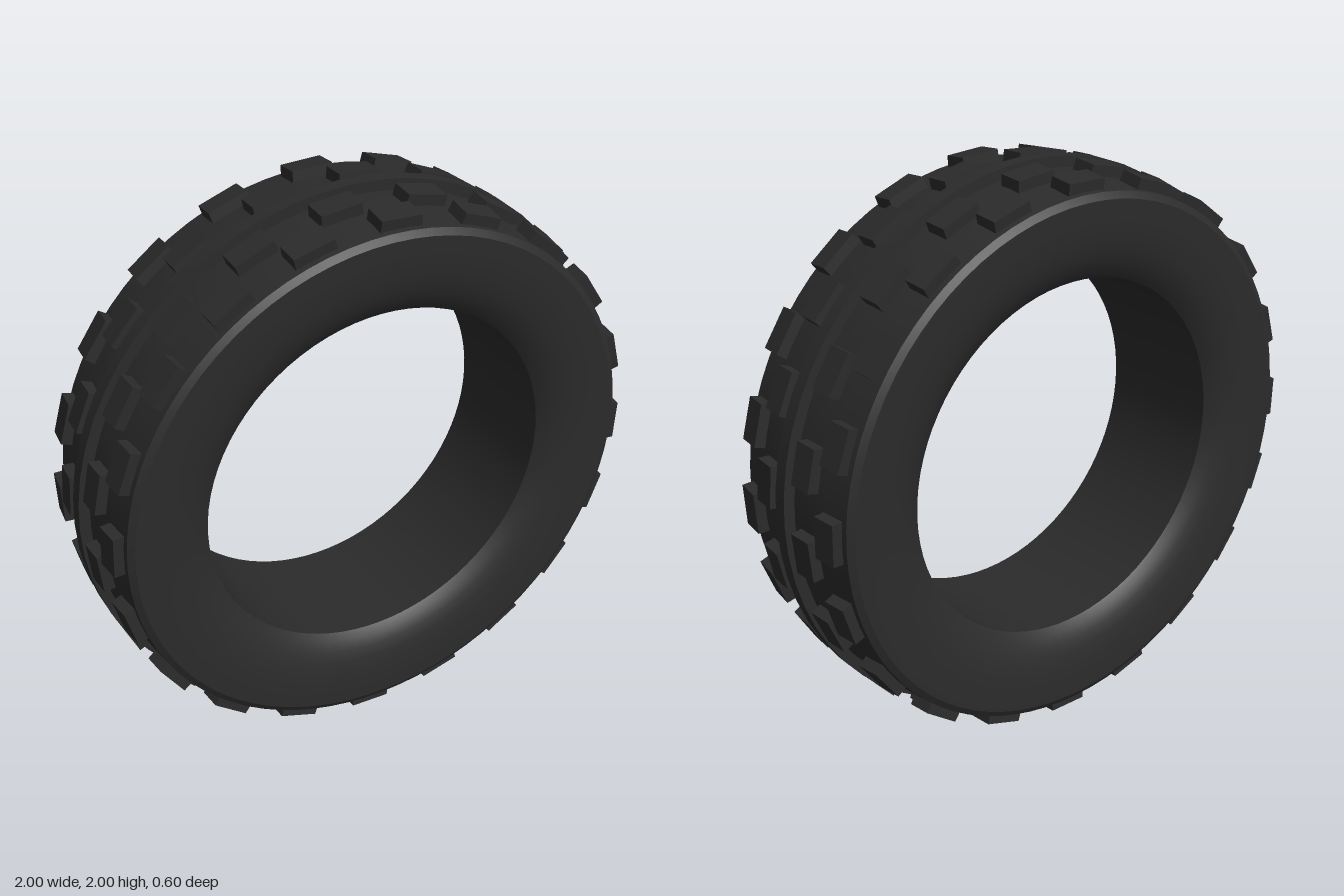
import * as THREE from 'three';
import { toCreasedNormals } from 'three/addons/utils/BufferGeometryUtils.js';

const rubber = new THREE.MeshStandardMaterial({ color: 0x2b2b2b });
rubber.name = 'black rubber';

// Ring turned about the z axis from [radius, z] points
function ring(name, profile, segments) {
  const points = profile.map(([r, z]) => new THREE.Vector2(r, z));
  const geometry = new THREE.LatheGeometry(points, segments).rotateX(Math.PI / 2);
  const mesh = new THREE.Mesh(toCreasedNormals(geometry, 0.5), rubber);
  mesh.name = name;
  return mesh;
}

// Tread block, slightly narrower on top, with its top face at y = 0
function blockGeometry() {
  const geometry = new THREE.BoxGeometry(0.15, 0.08, 0.09).translate(0, -0.04, 0);
  const p = geometry.attributes.position;
  for (let i = 0; i < p.count; i++) {
    if (p.getY(i) > -0.01) p.setXYZ(i, p.getX(i) * 0.96, 0, p.getZ(i) * 0.97);
  }
  geometry.computeVertexNormals();
  return geometry;
}

export function createModel() {
  const model = new THREE.Group();
  model.name = 'tire';
  const wheel = new THREE.Group();
  wheel.name = 'tireBody';
  wheel.position.y = 1;
  model.add(wheel);

  // Half profile from the bore over the sidewall to the tread centre
  const half = [
    [0.64, 0.235], [0.665, 0.254], [0.7, 0.272], [0.74, 0.285], [0.79, 0.294],
    [0.85, 0.298], [0.915, 0.298], [0.938, 0.285], [0.948, 0.2], [0.957, 0.1],
  ];
  const back = half.map(([r, z]) => [r, -z]);
  wheel.add(ring('carcass', [half[0], ...back, [0.96, 0], ...half.slice().reverse()], 80));

  // Continuous rib round the middle of the tread
  wheel.add(ring('centreRib', [[0.93, -0.025], [0.998, -0.025], [0.998, 0.025], [0.93, 0.025]], 60));

  // Four staggered rows of blocks: z, top radius, tilt, start angle in degrees from the top
  const rows = [
    [0.225, 0.98, 0.11, 2.8],
    [0.105, 0.992, 0.06, -5.6],
    [-0.105, 0.992, -0.06, 4.7],
    [-0.225, 0.98, -0.11, -1.5],
  ];
  const geometry = blockGeometry();
  const count = 20;
  rows.forEach(([z, radius, tilt, start], row) => {
    const group = new THREE.Group();
    group.name = 'treadRow' + (row + 1);
    for (let i = 0; i < count; i++) {
      const angle = THREE.MathUtils.degToRad(start + (i * 360) / count);
      const block = new THREE.Mesh(geometry, rubber);
      block.name = 'treadBlock';
      block.position.set(Math.sin(angle) * radius, Math.cos(angle) * radius, z);
      block.rotation.set(tilt, 0, -angle, 'ZYX');
      group.add(block);
    }
    wheel.add(group);
  });
  return model;
}
